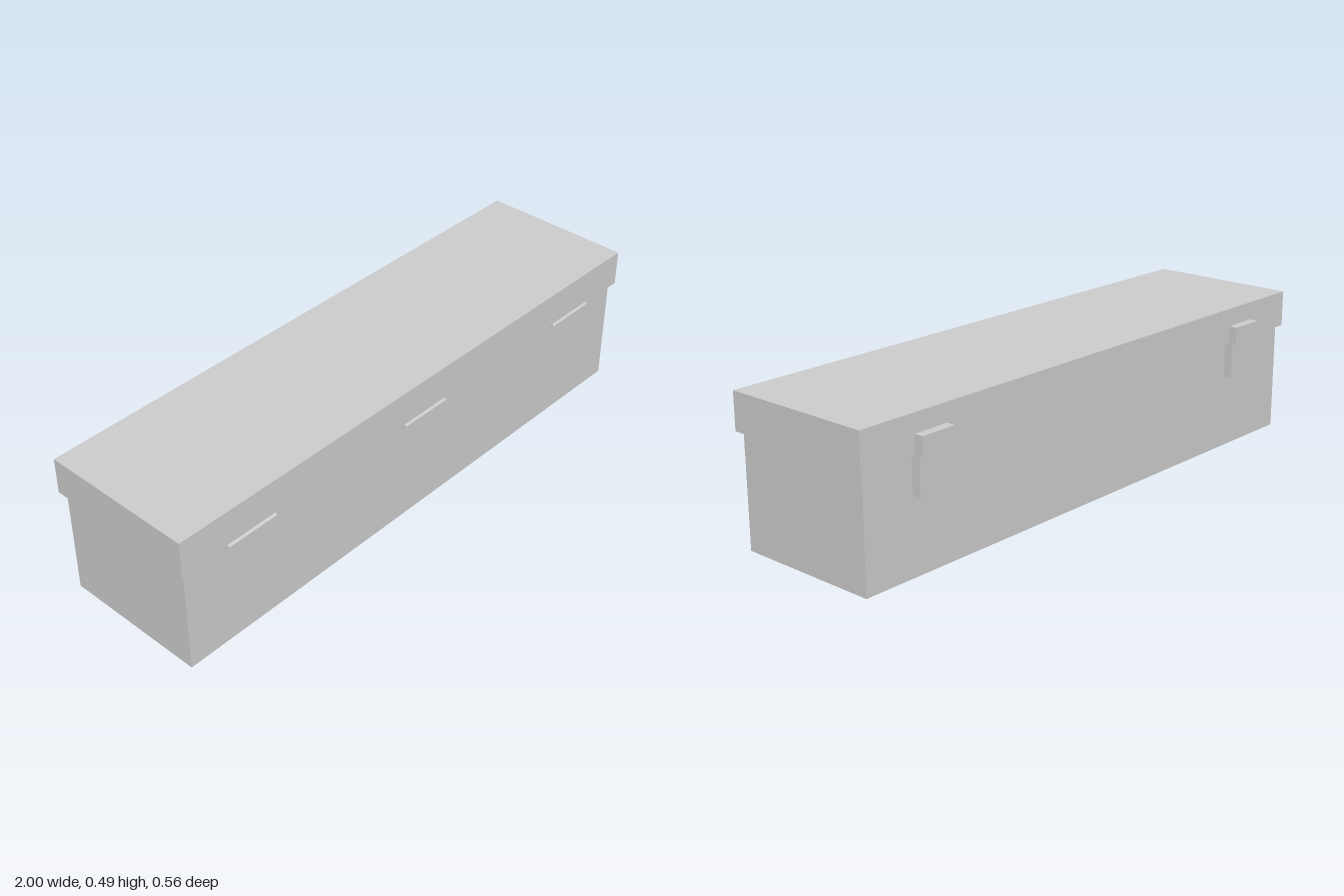
import * as THREE from 'three';

const material = new THREE.MeshStandardMaterial({ color: 0xcccccc, flatShading: true });

// Box given by its [min, max] extents on each axis
function box(name, [x0, x1], [y0, y1], [z0, z1]) {
  const mesh = new THREE.Mesh(new THREE.BoxGeometry(x1 - x0, y1 - y0, z1 - z0), material);
  mesh.position.set((x0 + x1) / 2, (y0 + y1) / 2, (z0 + z1) / 2);
  mesh.name = name;
  return mesh;
}

export function createModel() {
  const model = new THREE.Group();
  model.name = 'case';
  const seam = 0.37;

  // Case body and overhanging lid
  model.add(box('body', [-0.983, 0.983], [0, seam], [-0.235, 0.26]));
  model.add(box('lid', [-1, 1], [seam, 0.492], [-0.25, 0.275]));

  // Hinges: square bars turned on edge along the front seam
  for (const x of [-0.738, 0, 0.738]) {
    const side = 0.021 * Math.SQRT2;
    const hinge = new THREE.Mesh(new THREE.BoxGeometry(0.187, side, side), material);
    hinge.rotation.x = Math.PI / 4;
    hinge.position.set(x, seam, 0.26);
    hinge.name = 'hinge';
    model.add(hinge);
  }

  // Two-part latches on the back
  for (const x of [-0.738, 0.738]) {
    const latch = new THREE.Group();
    latch.name = 'latch';
    const span = [x - 0.062, x + 0.062];
    latch.add(box('latchTop', span, [seam, 0.431], [-0.28, -0.245]));
    latch.add(box('latchBottom', span, [0.248, seam], [-0.265, -0.23]));
    model.add(latch);
  }

  return model;
}
